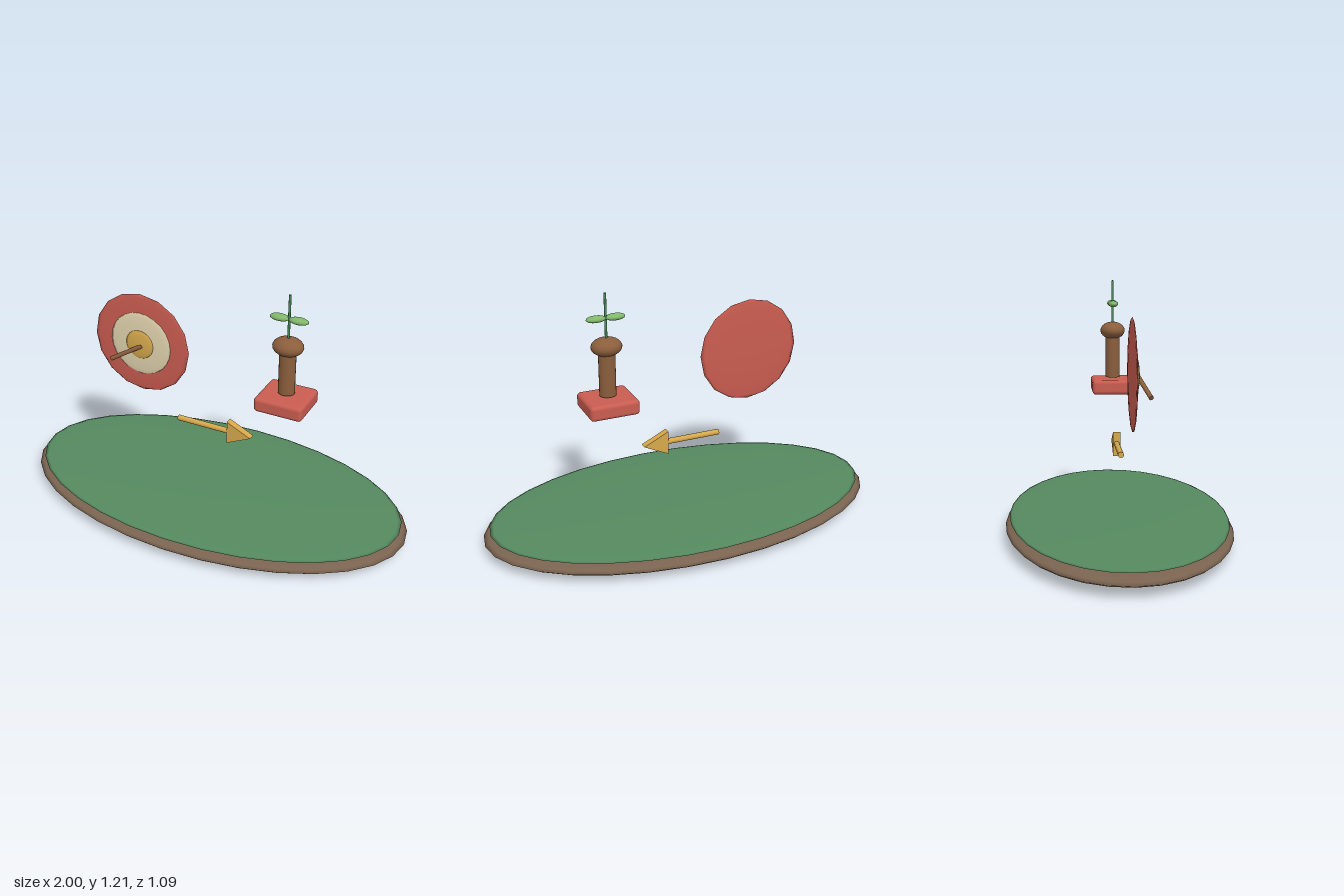
import * as THREE from 'three';
import { RoundedBoxGeometry } from 'three/addons/geometries/RoundedBoxGeometry.js';

const mat = (color) => new THREE.MeshStandardMaterial({ color });
const RED = mat(0xc95c50), CREAM = mat(0xe2d3ae), GOLD = mat(0xd6a84c), BROWN = mat(0x8b5e3c);
const EARTH = mat(0x7a6350), GRASS = mat(0x55895f), STEM = mat(0x4a8a5c), LEAF = mat(0x80b86a);

function add(parent, name, geometry, material, x = 0, y = 0, z = 0) {
  const mesh = new THREE.Mesh(geometry, material);
  mesh.name = name;
  mesh.position.set(x, y, z);
  parent.add(mesh);
  return mesh;
}

const ellipsoid = (rx, ry, rz, w = 24, h = 16) => new THREE.SphereGeometry(1, w, h).scale(rx, ry, rz);

function group(parent, name, x, y, z) {
  const g = new THREE.Group();
  g.name = name;
  g.position.set(x, y, z);
  parent.add(g);
  return g;
}

export function createModel() {
  const model = new THREE.Group();
  model.name = 'floatingIsland';

  // Oval island: flattened earth with a thin grass lens on top
  add(model, 'islandEarth', ellipsoid(1, 0.057, 0.545, 32, 16), EARTH, 0, 0.06, 0);
  add(model, 'islandGrass', ellipsoid(0.97, 0.018, 0.525, 32, 16), GRASS, 0, 0.105, 0);

  // Round target: three stacked lenses and a stick poking out
  const target = group(model, 'target', -0.375, 0.822, 0);
  add(target, 'targetOuter', ellipsoid(0.257, 0.257, 0.01, 16, 8), RED, 0, 0, 0.037);
  add(target, 'targetMiddle', ellipsoid(0.162, 0.162, 0.01, 20, 12), CREAM, 0, 0, 0.047);
  add(target, 'targetCentre', ellipsoid(0.074, 0.074, 0.01, 16, 12), GOLD, 0, 0, 0.058);
  const from = new THREE.Vector3(0.015, -0.003, 0.06), to = new THREE.Vector3(-0.135, -0.085, 0.108);
  const dir = to.clone().sub(from);
  const mid = from.clone().add(to).multiplyScalar(0.5);
  const stick = add(target, 'stick', new THREE.CylinderGeometry(0.011, 0.011, dir.length(), 10), BROWN, mid.x, mid.y, mid.z);
  stick.quaternion.setFromUnitVectors(new THREE.Vector3(0, 1, 0), dir.normalize());

  // Arrow: round shaft and a flat triangular head
  const arrow = group(model, 'arrow', 0, 0.427, 0);
  add(arrow, 'arrowShaft', new THREE.CylinderGeometry(0.014, 0.014, 0.28, 12).rotateZ(Math.PI / 2), GOLD, -0.06, 0, 0);
  const head = new THREE.Shape([
    new THREE.Vector2(0.075, -0.06), new THREE.Vector2(0.2, 0), new THREE.Vector2(0.075, 0.06),
  ]);
  add(arrow, 'arrowHead', new THREE.ExtrudeGeometry(head, { depth: 0.036, bevelEnabled: false }), GOLD, 0, 0, -0.018);

  // Sprout on a pedestal
  const sprout = group(model, 'sprout', 0.371, 0, 0);
  add(sprout, 'pedestal', new RoundedBoxGeometry(0.24, 0.073, 0.216, 3, 0.018), RED, 0, 0.682, 0);
  add(sprout, 'trunk', new THREE.CylinderGeometry(0.04, 0.04, 0.225, 20).scale(1, 1, 0.9), BROWN, 0, 0.837, 0);
  add(sprout, 'bulb', ellipsoid(0.074, 0.044, 0.062), BROWN, 0, 0.963, 0);
  add(sprout, 'stem', new THREE.CylinderGeometry(0.006, 0.006, 0.23, 10).scale(1, 1, 0.9), STEM, 0, 1.102, 0);
  for (const s of [1, -1]) {
    add(sprout, s > 0 ? 'leftLeaf' : 'rightLeaf', ellipsoid(0.048, 0.016, 0.025, 16, 10), LEAF, s * 0.046, 1.1, 0);
  }
  return model;
}
